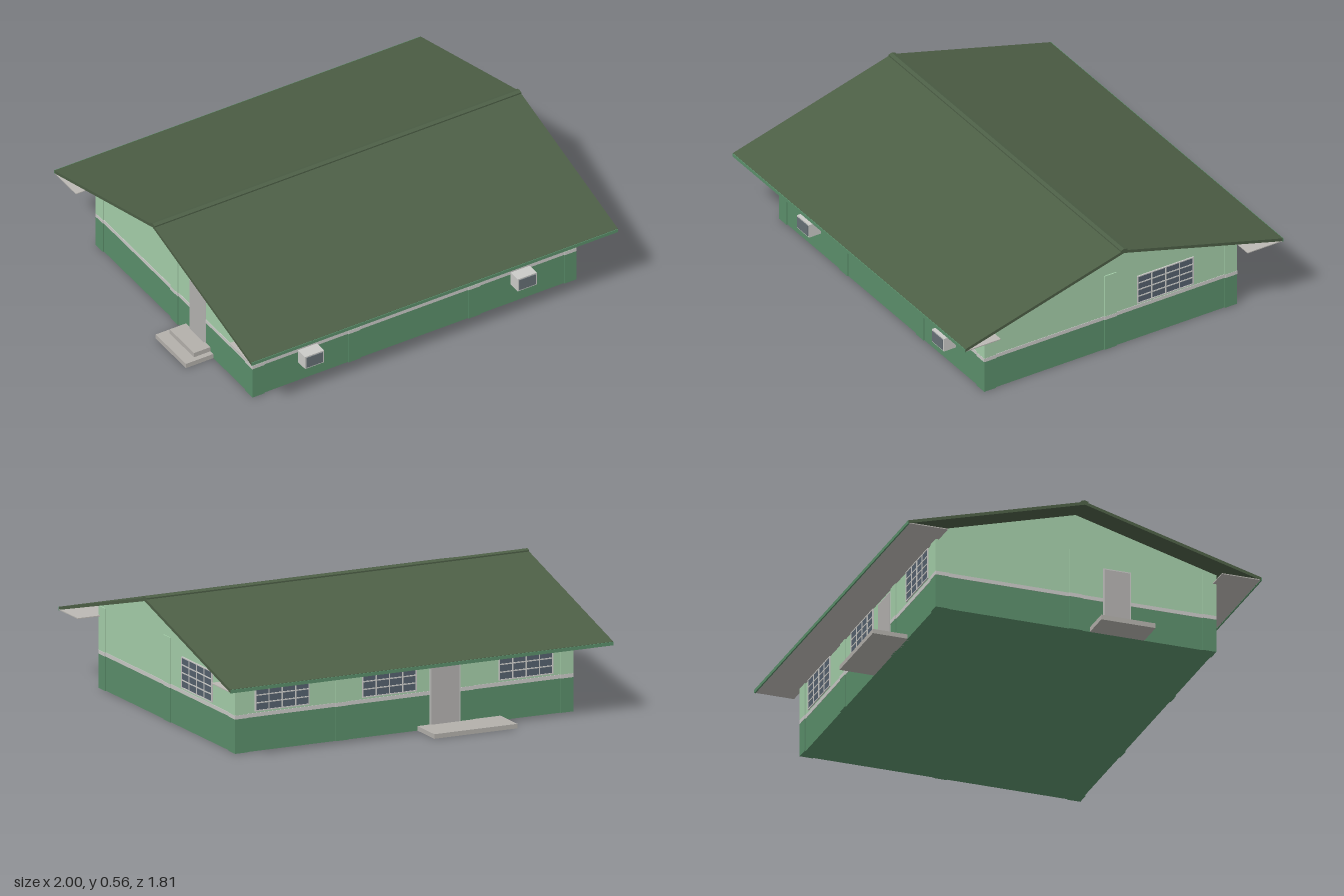
import * as THREE from 'three';

const mat = (name, color, side = THREE.FrontSide) => {
  const m = new THREE.MeshStandardMaterial({ color, side });
  m.name = name;
  return m;
};

export function createModel() {
  const M = {
    upper: mat('pale green wall', 0xa5cfaa),
    lower: mat('deep green wall', 0x5b8f6b),
    stripe: mat('light grey trim', 0xcbcbc8),
    roof: mat('dark green roof', 0x4d5f46),
    soffit: mat('soffit grey', 0xbcb9b4),
    concrete: mat('concrete', 0xb3b0ab),
    door: mat('door grey', 0xb4b2b0),
    glass: mat('slate glass', 0x55616e),
    grille: mat('grille grey', 0x667076),
  };
  const house = new THREE.Group();
  house.name = 'house';
  const HX = 0.8, HZ = 0.632;          // wall half sizes
  const RX = 0.911, RZ = 0.8;          // roof half sizes
  const RIDGE = 0.55, EAVE = 0.33, THICK = 0.014;
  const roofY = (z) => RIDGE - ((RIDGE - EAVE) * Math.abs(z)) / RZ;

  // box from its min and max corners
  const box = (parent, name, m, x0, x1, y0, y1, z0, z1) => {
    const mesh = new THREE.Mesh(new THREE.BoxGeometry(x1 - x0, y1 - y0, z1 - z0), m);
    mesh.position.set((x0 + x1) / 2, (y0 + y1) / 2, (z0 + z1) / 2);
    mesh.name = name;
    parent.add(mesh);
    return mesh;
  };
  // (z, y) profile swept along x
  const sweep = (name, m, pts, halfLength) => {
    const shape = new THREE.Shape(pts.map(([a, b]) => new THREE.Vector2(a, b)));
    const g = new THREE.ExtrudeGeometry(shape, { depth: 2 * halfLength, bevelEnabled: false });
    g.translate(0, 0, -halfLength).rotateY(Math.PI / 2);
    const mesh = new THREE.Mesh(g, m);
    mesh.name = name;
    house.add(mesh);
  };

  // wall body in three bands
  const B1 = 0.15, B2 = 0.167;
  box(house, 'lowerWall', M.lower, -HX, HX, 0, B1, -HZ, HZ);
  box(house, 'wallStripe', M.stripe, -HX - 0.002, HX + 0.002, B1, B2, -HZ - 0.002, HZ + 0.002);
  const wt = roofY(HZ) - THICK;
  sweep('upperWall', M.upper,
    [[-HZ, B2], [HZ, B2], [HZ, wt], [0, RIDGE - THICK], [-HZ, wt]], HX);

  // roof, ridge cap, eaves
  sweep('roof', M.roof, [
    [-RZ, EAVE - THICK], [0, RIDGE - THICK], [RZ, EAVE - THICK],
    [RZ, EAVE], [0, RIDGE], [-RZ, EAVE]], RX);
  sweep('ridgeCap', M.roof, [
    [-0.016, 0.543], [0.016, 0.543], [0.016, 0.552], [0, 0.557], [-0.016, 0.552]], RX);
  for (const s of [-1, 1]) {
    const a = s * (HZ - 0.01), b = s * (RZ - 0.004);
    box(house, 'soffit', M.soffit, -RX, RX, 0.316, 0.32, Math.min(a, b), Math.max(a, b));
    const f = s * RZ;
    box(house, 'fascia', M.lower, -RX, RX, 0.314, 0.329, f - 0.003, f + 0.003);
  }

  // one group per wall: local x runs along it, local z points outwards
  const wall = (name, angle, dist) => {
    const g = new THREE.Group();
    g.name = name;
    g.rotation.y = angle;
    g.position.set(Math.sin(angle) * dist, 0, Math.cos(angle) * dist);
    house.add(g);
    return g;
  };
  const front = wall('frontWall', 0, HZ);
  const right = wall('leftGable', Math.PI / 2, HX);
  const back = wall('backWall', Math.PI, HZ);
  const left = wall('rightGable', -Math.PI / 2, HX);

  // banded pilaster
  const pilaster = (w, x, top) => {
    const a = x - 0.03, b = x + 0.03, d = 0.005;
    box(w, 'pilasterBase', M.lower, a, b, 0, B1, -0.01, d);
    box(w, 'pilasterStripe', M.stripe, a, b, B1, B2, -0.01, d + 0.001);
    box(w, 'pilasterTop', M.upper, a, b, B2, top, -0.01, d);
  };
  for (const w of [front, back]) for (const x of [-0.775, -0.298, 0.298, 0.775]) pilaster(w, x, 0.36);
  for (const w of [right, left]) {
    pilaster(w, 0, 0.37);
    for (const x of [-0.607, 0.607]) pilaster(w, x, 0.36);
  }

  // window: pane, frame and glazing bars
  const windowPane = (w, x0, x1, y0, y1, cols, rows) => {
    const g = new THREE.Group();
    g.name = 'window';
    w.add(g);
    box(g, 'pane', M.glass, x0, x1, y0, y1, -0.002, 0.003);
    const t = 0.0025;
    for (let i = 0; i <= cols; i++) {
      const x = x0 + ((x1 - x0) * i) / cols;
      box(g, 'verticalBar', M.stripe, x - t, x + t, y0 - t, y1 + t, 0, 0.006);
    }
    for (let j = 0; j <= rows; j++) {
      const y = y0 + ((y1 - y0) * j) / rows;
      box(g, 'horizontalBar', M.stripe, x0 - t, x1 + t, y - t, y + t, 0, 0.0055);
    }
  };
  windowPane(front, -0.718, -0.416, 0.177, 0.312, 5, 4);
  windowPane(front, 0.411, 0.713, 0.177, 0.312, 5, 4);
  windowPane(front, -0.053, 0.043, 0.257, 0.312, 3, 2);
  windowPane(right, 0.137, 0.417, 0.177, 0.31, 4, 4);
  for (const x of [-0.58, -0.07, 0.58]) windowPane(back, x - 0.127, x + 0.127, 0.177, 0.312, 4, 4);

  // air conditioners under the front windows
  for (const x of [-0.53, 0.527]) {
    box(front, 'airConditioner', M.stripe, x - 0.047, x + 0.047, 0.097, 0.16, -0.01, 0.06);
    box(front, 'airConditionerGrille', M.grille, x - 0.041, x + 0.041, 0.103, 0.154, 0.058, 0.063);
  }

  // doors with frames
  const door = (w, x0, x1, y0, y1) => {
    box(w, 'doorFrame', M.stripe, x0 - 0.006, x1 + 0.006, y0, y1 + 0.006, -0.005, 0.004);
    box(w, 'door', M.door, x0, x1, y0, y1, -0.005, 0.007);
  };
  door(back, 0.128, 0.262, 0.02, 0.3);
  door(left, 0.13, 0.245, 0.044, 0.3);

  // back porch slab and side steps
  box(back, 'porchSlab', M.concrete, 0.065, 0.46, 0, 0.02, -0.01, 0.158);
  box(left, 'lowerStep', M.concrete, 0.065, 0.311, 0, 0.022, -0.01, 0.136);
  box(left, 'upperStep', M.concrete, 0.09, 0.288, 0.022, 0.044, -0.01, 0.082);

  house.rotation.y = 0.118;
  const root = new THREE.Group();
  root.name = 'greenBungalow';
  root.add(house);
  return root;
}
